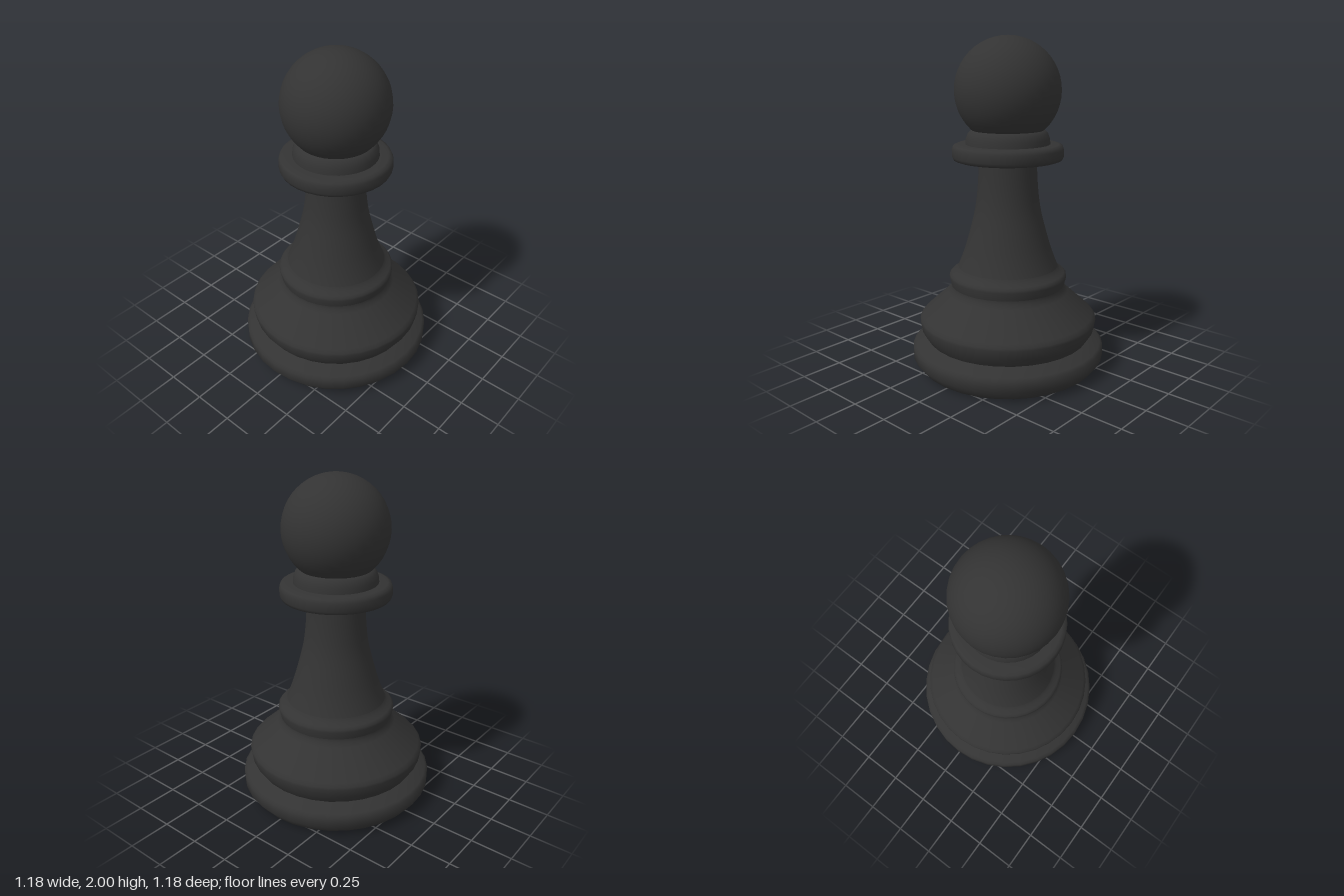
import * as THREE from 'three';
import { toCreasedNormals } from 'three/addons/utils/BufferGeometryUtils.js';

const SIDES = 32;

export function createModel() {
  const model = new THREE.Group();
  model.name = 'chessPawn';
  const material = new THREE.MeshStandardMaterial({ color: 0x333333 });

  const add = (name, geometry) => {
    const mesh = new THREE.Mesh(geometry, material);
    mesh.name = name;
    model.add(mesh);
    return mesh;
  };

  // Turned part: profile of [radius, height] from bottom to top
  const turned = (name, profile, crease = 0.9) => {
    const points = profile.map(([r, y]) => new THREE.Vector2(r, y));
    return add(name, toCreasedNormals(new THREE.LatheGeometry(points, SIDES), crease));
  };

  // Foot with bevelled rim
  turned('foot', [
    [0, 0], [0.535, 0], [0.552, 0.012], [0.592, 0.065], [0.592, 0.13],
    [0.575, 0.145], [0.5, 0.18],
  ]);

  // Wide shoulder sloping up to the groove
  turned('shoulder', [
    [0.5, 0.18], [0.535, 0.235], [0.545, 0.29], [0.543, 0.305], [0.525, 0.325],
    [0.37, 0.465], [0.35, 0.49], [0.348, 0.51],
  ]);

  // Rounded ring at the foot of the stem
  turned('stemRing', [
    [0.348, 0.51], [0.36, 0.56], [0.358, 0.575], [0.345, 0.588], [0.32, 0.602], [0.305, 0.625],
  ]);

  // Concave stem
  const stemCurve = new THREE.SplineCurve([
    [0.305, 0.625], [0.265, 0.73], [0.222, 0.88], [0.195, 1.0], [0.18, 1.14], [0.173, 1.29],
  ].map(([r, y]) => new THREE.Vector2(r, y)));
  turned('stem', stemCurve.getPoints(12).map((p) => [p.x, p.y]));

  // Flat collar with rounded edges
  turned('collar', [
    [0.16, 1.275], [0.305, 1.275], [0.325, 1.282], [0.333, 1.3], [0.333, 1.345],
    [0.325, 1.365], [0.305, 1.373], [0.24, 1.373],
  ]);

  // Small neck ring under the head
  turned('neckRing', [
    [0.253, 1.37], [0.25, 1.405], [0.238, 1.435], [0.222, 1.452], [0.2, 1.46], [0.2, 1.48],
  ]);

  // Ball head
  add('head', new THREE.SphereGeometry(0.315, SIDES, 24)).position.y = 1.685;

  return model;
}
